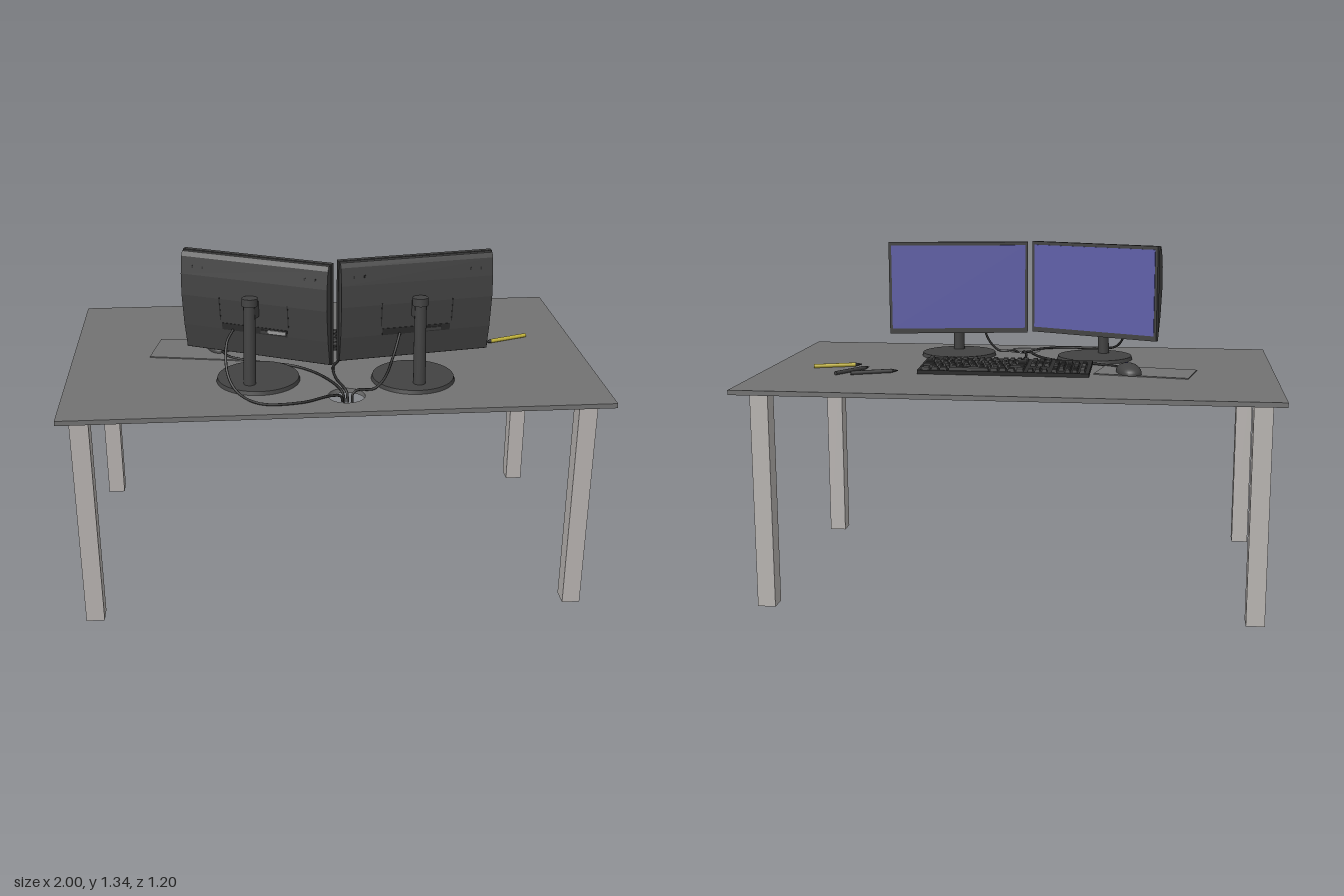
import * as THREE from 'three';
import { mergeGeometries } from 'three/addons/utils/BufferGeometryUtils.js';

const TOP = 0.856; // height of the desk surface

const paint = (name, color) => {
  const m = new THREE.MeshStandardMaterial({ color });
  m.name = name;
  return m;
};

export function createModel() {
  const mats = {
    desk: paint('deskGrey', 0x727272),
    leg: paint('legGrey', 0xb8b4b1),
    plastic: paint('darkPlastic', 0x424242),
    black: paint('blackPlastic', 0x2c2c2c),
    key: paint('keyGrey', 0x4e4e4e),
    screen: paint('screenBlue', 0x5f5fa8),
    yellow: paint('pencilYellow', 0xc4b53c),
    light: paint('plugGrey', 0x9a9a9a),
  };
  const model = new THREE.Group();
  model.name = 'deskWithComputer';

  const add = (parent, name, geo, mat, x = 0, y = 0, z = 0) => {
    const mesh = new THREE.Mesh(geo, mat);
    mesh.name = name;
    mesh.position.set(x, y, z);
    parent.add(mesh);
    return mesh;
  };
  const box = (w, h, d) => new THREE.BoxGeometry(w, h, d);
  const vec = (p) => new THREE.Vector3(...p);
  // straight rod between two points
  const rod = (parent, name, a, b, r1, r2, mat, sides = 20) => {
    const dir = vec(b).sub(vec(a));
    const mesh = add(parent, name, new THREE.CylinderGeometry(r2, r1, dir.length(), sides), mat);
    mesh.position.copy(vec(a)).addScaledVector(dir, 0.5);
    mesh.quaternion.setFromUnitVectors(new THREE.Vector3(0, 1, 0), dir.normalize());
    return mesh;
  };

  // Desk top with a round cable hole
  const slab = new THREE.Shape([[-1, -0.6], [1, -0.6], [1, 0.6], [-1, 0.6]].map((p) => new THREE.Vector2(...p)));
  slab.holes.push(new THREE.Path().absarc(0.035, 0.45, 0.068, 0, Math.PI * 2, true));
  const slabGeo = new THREE.ExtrudeGeometry(slab, { depth: 0.018, bevelEnabled: false, curveSegments: 24 });
  add(model, 'deskTop', slabGeo.rotateX(Math.PI / 2), mats.desk, 0, TOP, 0);

  // Four square legs, leaning very slightly
  for (const [x, z, foot] of [[0.905, 0.527, 0], [-0.922, 0.527, 0.008], [0.905, -0.51, 0.013], [-0.922, -0.51, 0.016]]) {
    const leg = add(model, 'leg', box(0.068, 0.84 - foot, 0.07), mats.leg, x, (0.84 + foot) / 2, z);
    leg.rotation.x = 0.012;
  }

  // Monitors: the screen faces -z, the stand is behind it
  const shellShape = new THREE.Shape(
    [[0.018, 0.955], [0.026, 0.955], [0.045, 1.05], [0.058, 1.17], [0.056, 1.25], [0.046, 1.315], [0.037, 1.332], [0.018, 1.332]]
      .map(([z, y]) => new THREE.Vector2(-z, y)));
  const shellGeo = new THREE.ExtrudeGeometry(shellShape, { depth: 0.574, bevelEnabled: false });
  shellGeo.translate(0, 0, -0.287).rotateY(Math.PI / 2);

  const monitor = (name, x, z, turn) => {
    const g = new THREE.Group();
    g.name = name;
    g.position.set(x, 0, z);
    g.rotation.y = turn;
    model.add(g);
    add(g, 'bezel', box(0.582, 0.383, 0.02), mats.plastic, 0, 1.1435, 0.01);
    add(g, 'screen', box(0.56, 0.348, 0.004), mats.screen, 0, 1.147, -0.001);
    add(g, 'backShell', shellGeo, mats.plastic);
    // recessed connector strip and plug
    add(g, 'connectorStrip', box(0.26, 0.026, 0.006), mats.black, 0, 1.062, 0.045).rotation.x = 0.108;
    add(g, 'plug', box(0.07, 0.012, 0.008), mats.plastic, 0.06, 1.06, 0.047).rotation.x = 0.108;
    for (const s of [-1, 1]) {
      add(g, 'panelGroove', box(0.004, 0.09, 0.003), mats.black, s * 0.135, 1.13, 0.053).rotation.x = 0.108;
      for (const k of [0, 1]) add(g, 'vent', box(0.006, 0.01, 0.003), mats.black, s * (0.2 + k * 0.04), 1.28, 0.052).rotation.x = -0.15;
    }
    // stand
    add(g, 'standBase', new THREE.CylinderGeometry(0.153, 0.157, 0.014, 48), mats.plastic, 0, TOP + 0.007, 0.022);
    rod(g, 'standColumn', [0, TOP + 0.01, 0.102], [0, 1.18, 0.086], 0.023, 0.022, mats.plastic);
    rod(g, 'standCollar', [0, 1.168, 0.0865], [0, 1.197, 0.085], 0.029, 0.029, mats.plastic);
    add(g, 'standArm', box(0.045, 0.06, 0.05), mats.plastic, 0, 1.15, 0.068);
    return g;
  };
  const rightMonitor = monitor('rightMonitor', -0.272, 0.25, -0.43);
  monitor('leftMonitor', 0.295, 0.283, 0.164);
  add(rightMonitor, 'lightPlug', box(0.07, 0.014, 0.006), mats.light, 0.09, 1.062, 0.05);

  // Keyboard, raised toward the monitors
  const keyboard = new THREE.Group();
  keyboard.name = 'keyboard';
  keyboard.position.set(0.048, 0.871, -0.078);
  keyboard.rotation.set(-0.07, -0.01, 0);
  model.add(keyboard);
  add(keyboard, 'keyboardBody', box(0.67, 0.016, 0.222), mats.black);
  const keys = [];
  const key = (x, row, w, d = 1) => {
    const z = -0.092 + row * 0.0315 + (row === 5 ? 0.012 : 0) + (d - 1) * 0.0158;
    const g = box(w - 0.006, 0.012, d * 0.0315 - 0.006);
    const p = g.attributes.position; // taper the key tops
    for (let i = 0; i < p.count; i++) if (p.getY(i) > 0) p.setXYZ(i, p.getX(i) - Math.sign(p.getX(i)) * 0.003, p.getY(i), p.getZ(i) * 0.78);
    keys.push(g.translate(x, 0.0135, z));
  };
  const u = 0.0273; // one key width; rows run from the typist's left (+x)
  const rows = [
    [1.5, 1.2, 1.3, 6, 1.3, 1.2, 1.2, 1.3],
    [2.2, 1, 1, 1, 1, 1, 1, 1, 1, 1, 1, 2.8],
    [1.8, 1, 1, 1, 1, 1, 1, 1, 1, 1, 1, 1, 2.2],
    [1.5, 1, 1, 1, 1, 1, 1, 1, 1, 1, 1, 1, 1, 1.5],
    [1, 1, 1, 1, 1, 1, 1, 1, 1, 1, 1, 1, 1, 2],
    [1, -1, 1, 1, 1, 1, -0.5, 1, 1, 1, 1, -0.5, 1, 1, 1, 1],
  ];
  rows.forEach((row, r) => {
    let x = 0.325;
    for (const w of row) {
      if (w > 0) key(x - (w * u) / 2, r, w * u);
      x -= Math.abs(w) * u;
    }
  });
  for (let c = 0; c < 3; c++) {
    for (const r of [0, 3, 4, 5]) key(-0.108 - c * u, r, u);
    for (const r of [0, 1, 2, 3, 4]) if (c || r) key(-0.227 - c * u + 0.002, r, u);
  }
  key(-0.108 - u, 1, u);
  key(-0.2, 1, u);
  key(-0.2, 0, u);
  for (const r of [2, 3, 4]) key(-0.2, r, u);
  key(-0.309, 0, u, 2);
  key(-0.309, 2, u, 2);
  key(-0.309, 4, u);
  add(keyboard, 'keys', mergeGeometries(keys), mats.key);

  // Mouse pad and mouse
  add(model, 'mousePad', box(0.37, 0.004, 0.2), mats.desk, -0.5, TOP + 0.002, -0.052).rotation.y = -0.18;
  const mouse = new THREE.Group();
  mouse.name = 'mouse';
  mouse.position.set(-0.435, TOP + 0.004, -0.083);
  mouse.rotation.y = 0.25;
  model.add(mouse);
  const dome = new THREE.SphereGeometry(1, 32, 12, 0, Math.PI * 2, 0, Math.PI / 2);
  const dp = dome.attributes.position;
  for (let i = 0; i < dp.count; i++) { // squarer outline than a plain ellipse
    const [x, y, z] = [dp.getX(i), dp.getY(i), dp.getZ(i)];
    const f = 1 + 0.35 * x * x * z * z;
    dp.setXYZ(i, x * f * 0.045, Math.pow(Math.max(y, 0), 0.8) * 0.038, z * f * 0.083);
  }
  dome.computeVertexNormals();
  add(mouse, 'mouseBody', dome, mats.plastic);
  const wheel = add(mouse, 'mouseWheel', new THREE.CylinderGeometry(0.01, 0.01, 0.008, 16), mats.screen, 0, 0.026, 0.042);
  wheel.rotation.z = Math.PI / 2;

  // Cables running down through the hole
  const y = TOP + 0.006;
  const cables = {
    mouseCable: [[-0.415, 0.866, -0.005], [-0.39, y, 0.04], [-0.27, y, 0.11], [-0.15, y, 0.155], [-0.06, y, 0.24], [0.01, y, 0.38], [0.025, 0.85, 0.415], [0.03, 0.815, 0.42]],
    keyboardCable: [[0.037, 0.875, 0.03], [0.037, y, 0.1], [0.008, y, 0.18], [0.01, y, 0.3], [0.03, y, 0.385], [0.04, 0.85, 0.41], [0.042, 0.815, 0.42]],
    rightMonitorCable: [[-0.37, 1.055, 0.265], [-0.395, 1.02, 0.31], [-0.395, 0.93, 0.39], [-0.36, 0.88, 0.45], [-0.28, y, 0.515], [-0.13, y, 0.515], [-0.03, y, 0.465], [0.015, 0.85, 0.44], [0.022, 0.825, 0.43]],
    leftMonitorCable: [[0.24, 1.055, 0.345], [0.215, 0.99, 0.385], [0.18, 0.9, 0.4], [0.14, y, 0.408], [0.08, y, 0.415], [0.06, 0.85, 0.425], [0.058, 0.82, 0.43]],
  };
  for (const [name, pts] of Object.entries(cables)) {
    const curve = new THREE.CatmullRomCurve3(pts.map(vec), false, 'centripetal');
    add(model, name, new THREE.TubeGeometry(curve, 48, 0.005, 8), mats.black);
  }

  // Two pens and a pencil
  const pen = (name, x1, z1, x2, z2, mat, tipMat) => {
    const h = TOP + 0.008;
    const a = [x1, h, z1], b = [x2, h, z2];
    const neck = vec(a).lerp(vec(b), 0.14).toArray();
    rod(model, name, neck, b, 0.008, 0.008, mat, 8);
    rod(model, name + 'Tip', a, neck, 0.0015, 0.008, tipMat, 8);
  };
  pen('pen', 0.465, -0.16, 0.635, -0.238, mats.plastic, mats.black);
  pen('secondPen', 0.597, -0.092, 0.692, -0.25, mats.plastic, mats.black);
  pen('pencil', 0.64, -0.033, 0.82, -0.1, mats.yellow, mats.black);

  return model;
}
